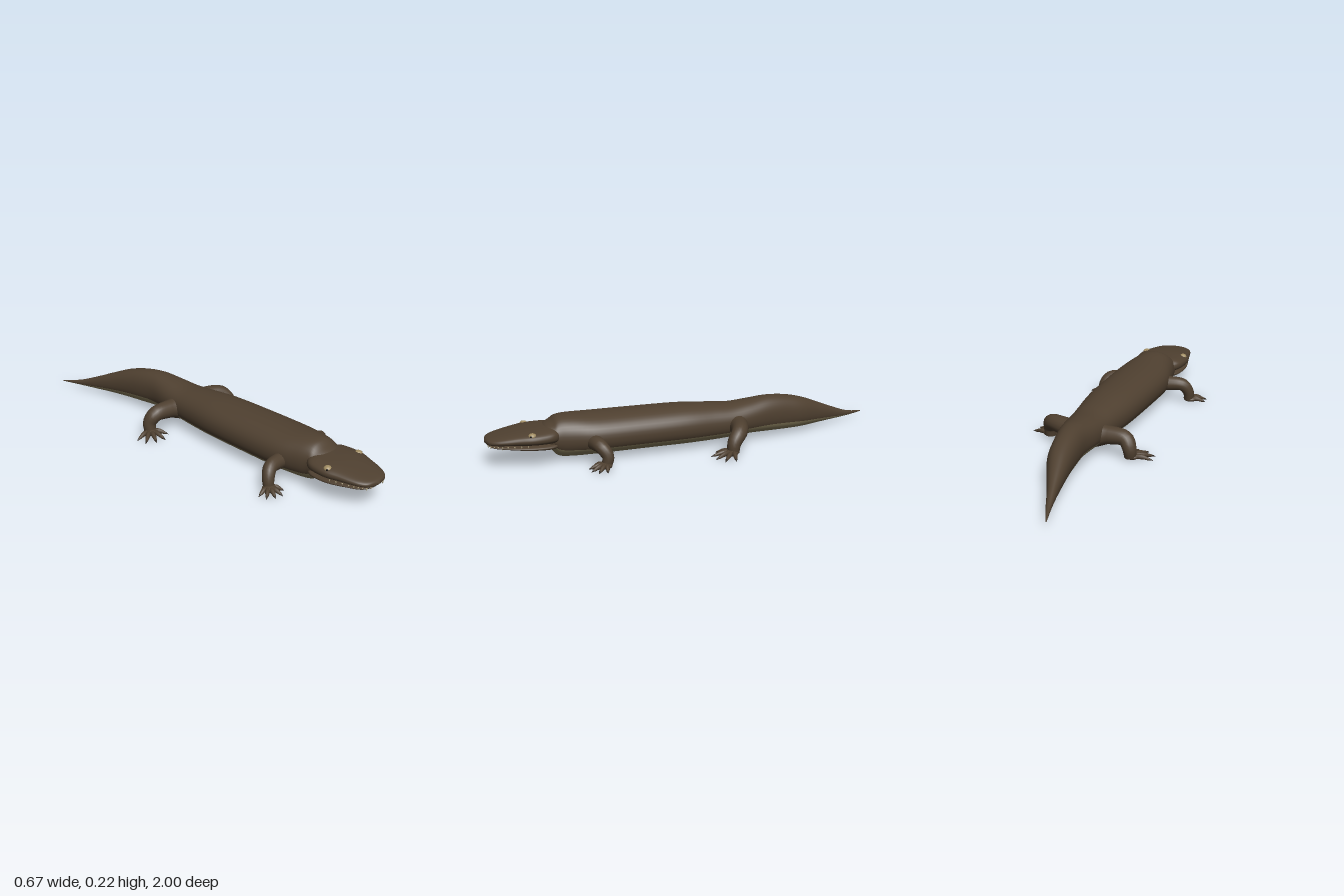
import * as THREE from 'three';

const mat = (name, color, extra = {}) =>
  Object.assign(new THREE.MeshStandardMaterial({ color, ...extra }), { name });

// Skin a list of rings; faces for which isSecond(angle) is true go to material 1
function skin(rings, isSecond = () => false) {
  const n = rings[0].length, first = [], second = [];
  for (let i = 0; i < rings.length - 1; i++) {
    for (let j = 0; j < n; j++) {
      const k = (j + 1) % n;
      const a = i * n + j, b = i * n + k, c = a + n, d = b + n;
      const list = isSecond(((j + 0.5) / n) * Math.PI * 2) ? second : first;
      list.push(a, b, c, b, d, c);
    }
  }
  const geo = new THREE.BufferGeometry().setFromPoints(rings.flat());
  geo.setIndex([...first, ...second]);
  geo.addGroup(0, first.length, 0);
  geo.addGroup(first.length, second.length, 1);
  geo.computeVertexNormals();
  return geo;
}

// Smoothly sampled sections [z, x, top, bottom, halfWidth], listed from back to front
function sections(rows) {
  const spine = new THREE.CatmullRomCurve3(rows.map(r => new THREE.Vector3(r[1], r[4], r[0])), false, 'catmullrom', 0.5);
  const edge = new THREE.CatmullRomCurve3(rows.map(r => new THREE.Vector3(r[2], r[3], r[0])), false, 'catmullrom', 0.5);
  return t => {
    const s = spine.getPoint(t), e = edge.getPoint(t);
    return { x: s.x, z: s.z, w: Math.max(s.y, 0.001), y: (e.x + e.y) / 2, h: Math.max((e.x - e.y) / 2, 0.001) };
  };
}

function loft(rows, power, isSecond) {
  const at = sections(rows), steps = (rows.length - 1) * 5, n = 40, rings = [];
  const bend = v => Math.sign(v) * Math.abs(v) ** power;
  for (let i = 0; i <= steps; i++) {
    const s = at(i / steps), ring = [];
    for (let j = 0; j < n; j++) {
      const a = (j / n) * Math.PI * 2;
      ring.push(new THREE.Vector3(s.x + s.w * bend(Math.cos(a)), s.y + s.h * bend(Math.sin(a)), s.z));
    }
    rings.push(ring);
  }
  return skin(rings, isSecond);
}

// Tube with a radius that changes along its path
function limb(points, radii, steps = 20, n = 16) {
  const curve = new THREE.CatmullRomCurve3(points.map(p => new THREE.Vector3(...p)));
  const { normals, binormals } = curve.computeFrenetFrames(steps);
  const rings = [];
  for (let i = 0; i <= steps; i++) {
    const u = i / steps, f = u * (radii.length - 1), k = Math.min(Math.floor(f), radii.length - 2);
    const r = THREE.MathUtils.lerp(radii[k], radii[k + 1], f - k), c = curve.getPointAt(u), ring = [];
    for (let j = 0; j < n; j++) {
      const a = (j / n) * Math.PI * 2;
      ring.push(c.clone().addScaledVector(normals[i], r * Math.cos(a)).addScaledVector(binormals[i], r * Math.sin(a)));
    }
    rings.push(ring);
  }
  return skin(rings);
}

export function createModel() {
  const hide = mat('brown hide', 0x4f4030);
  const belly = mat('olive belly', 0x857a5a);
  const clawMat = mat('dark claw', 0x2c231a);
  const eyeMat = mat('golden eye', 0xa08c62);
  const pupilMat = mat('black pupil', 0x15110d);
  const toothMat = mat('ivory tooth', 0xb9ad8a);
  const model = new THREE.Group();
  model.name = 'amphibian';
  const add = (parent, name, geo, material) => {
    const m = new THREE.Mesh(geo, material);
    m.name = name;
    parent.add(m);
    return m;
  };

  // Trunk and curved tail, with a pale underside
  add(model, 'bodyAndTail', loft([
    [-1, -0.17, 0.024, 0.02, 0.002], [-0.9, -0.132, 0.045, 0.019, 0.013],
    [-0.8, -0.1, 0.085, 0.02, 0.025], [-0.7, -0.068, 0.13, 0.022, 0.043],
    [-0.6, -0.039, 0.172, 0.022, 0.059], [-0.5, -0.022, 0.198, 0.024, 0.066],
    [-0.4, -0.008, 0.208, 0.028, 0.074], [-0.3, -0.003, 0.2, 0.03, 0.09],
    [-0.2, 0, 0.193, 0.025, 0.102], [-0.1, 0, 0.2, 0.02, 0.113],
    [0.05, 0, 0.21, 0.018, 0.13], [0.25, 0, 0.212, 0.018, 0.137],
    [0.48, 0, 0.213, 0.016, 0.137], [0.6, 0, 0.217, 0.014, 0.117],
    [0.66, 0, 0.212, 0.022, 0.104], [0.69, 0, 0.192, 0.052, 0.1],
    [0.73, 0, 0.168, 0.085, 0.08], [0.74, 0, 0.13, 0.12, 0.002],
  ], 0.92, a => Math.sin(a) < -0.42), [hide, belly]);

  // Flat broad head: skull above, jaw below
  const skull = [
    [0.65, 0, 0.165, 0.1, 0.08], [0.69, 0, 0.174, 0.098, 0.118],
    [0.74, 0, 0.173, 0.098, 0.131], [0.8, 0, 0.17, 0.1, 0.132],
    [0.86, 0, 0.163, 0.103, 0.116], [0.92, 0, 0.153, 0.106, 0.1],
    [0.96, 0, 0.145, 0.108, 0.083], [0.988, 0, 0.137, 0.11, 0.055], [1, 0, 0.126, 0.116, 0.005],
  ];
  add(model, 'skull', loft(skull, 0.8), hide);
  add(model, 'lowerJaw', loft([
    [0.65, 0, 0.115, 0.075, 0.075], [0.7, 0, 0.108, 0.072, 0.112],
    [0.8, 0, 0.11, 0.079, 0.122], [0.9, 0, 0.111, 0.089, 0.098],
    [0.96, 0, 0.112, 0.096, 0.076], [0.982, 0, 0.113, 0.101, 0.045], [0.99, 0, 0.11, 0.106, 0.004],
  ], 0.85), hide);

  // Eyes and small teeth on both sides
  const skullAt = sections(skull);
  for (const side of [1, -1]) {
    const eye = new THREE.Group();
    eye.name = side > 0 ? 'leftEye' : 'rightEye';
    eye.position.set(side * 0.104, 0.154, 0.795);
    eye.rotation.set(0, side * 1.0, 0);
    model.add(eye);
    add(eye, 'eyeball', new THREE.SphereGeometry(0.019, 20, 14), eyeMat).scale.set(1, 0.75, 1);
    const pupil = add(eye, 'pupil', new THREE.SphereGeometry(0.006, 12, 8), pupilMat);
    pupil.position.z = 0.017;
    pupil.scale.z = 0.5;
    for (let i = 0; i < 9; i++) {
      const s = skullAt(0.42 + i * 0.061), size = i % 3 === 1 ? 0.017 : 0.011;
      const tooth = add(model, 'tooth', new THREE.ConeGeometry(0.0035, size, 6), toothMat);
      tooth.position.set(side * s.w * 0.9, 0.11 - size / 2, s.z - 0.004);
      tooth.rotation.x = Math.PI;
    }
  }

  // Bent leg with a flat foot and five spread toes
  function leg(name, side, rootZ, footX, footZ, high, thick, toe) {
    const g = new THREE.Group();
    g.name = name;
    model.add(g);
    const midZ = (rootZ + footZ) / 2;
    add(g, 'limb', limb([
      [side * 0.05, high - 0.01, rootZ], [side * 0.13, high, rootZ * 0.7 + midZ * 0.3],
      [side * (footX - 0.028), high - 0.004, midZ], [side * (footX - 0.003), high * 0.58, footZ - 0.006],
      [side * footX, 0.016, footZ],
    ], [thick * 1.5, thick * 1.12, thick, thick * 0.88, thick * 0.72]), hide);
    const foot = add(g, 'foot', new THREE.SphereGeometry(0.036, 20, 12), hide);
    foot.position.set(side * (footX + 0.004), 0.017, footZ + 0.012);
    foot.scale.set(1, 0.45, 1);
    [[78, 0.95], [52, 1.08], [26, 1.06], [0, 1], [-36, 0.8]].forEach(([deg, len]) => {
      const a = THREE.MathUtils.degToRad(deg);
      const at = (d, y) => [side * (footX + Math.sin(a) * d), y, footZ + Math.cos(a) * d];
      const L = toe * len;
      add(g, 'toe', limb([at(0.01, 0.017), at(L * 0.5, 0.019), at(L * 0.85, 0.009)], [0.012, 0.012, 0.006], 8, 10), hide);
      add(g, 'claw', limb([at(L * 0.8, 0.011), at(L * 0.9, 0.008), at(L, 0.004)], [0.0065, 0.004, 0.0005], 5, 8), clawMat);
    });
  }
  leg('rightFrontLeg', -1, 0.52, 0.228, 0.56, 0.1, 0.034, 0.088);
  leg('leftFrontLeg', 1, 0.51, 0.215, 0.475, 0.1, 0.034, 0.088);
  leg('rightHindLeg', -1, -0.22, 0.23, -0.235, 0.102, 0.04, 0.112);
  leg('leftHindLeg', 1, -0.22, 0.228, -0.14, 0.102, 0.04, 0.112);

  return model;
}
